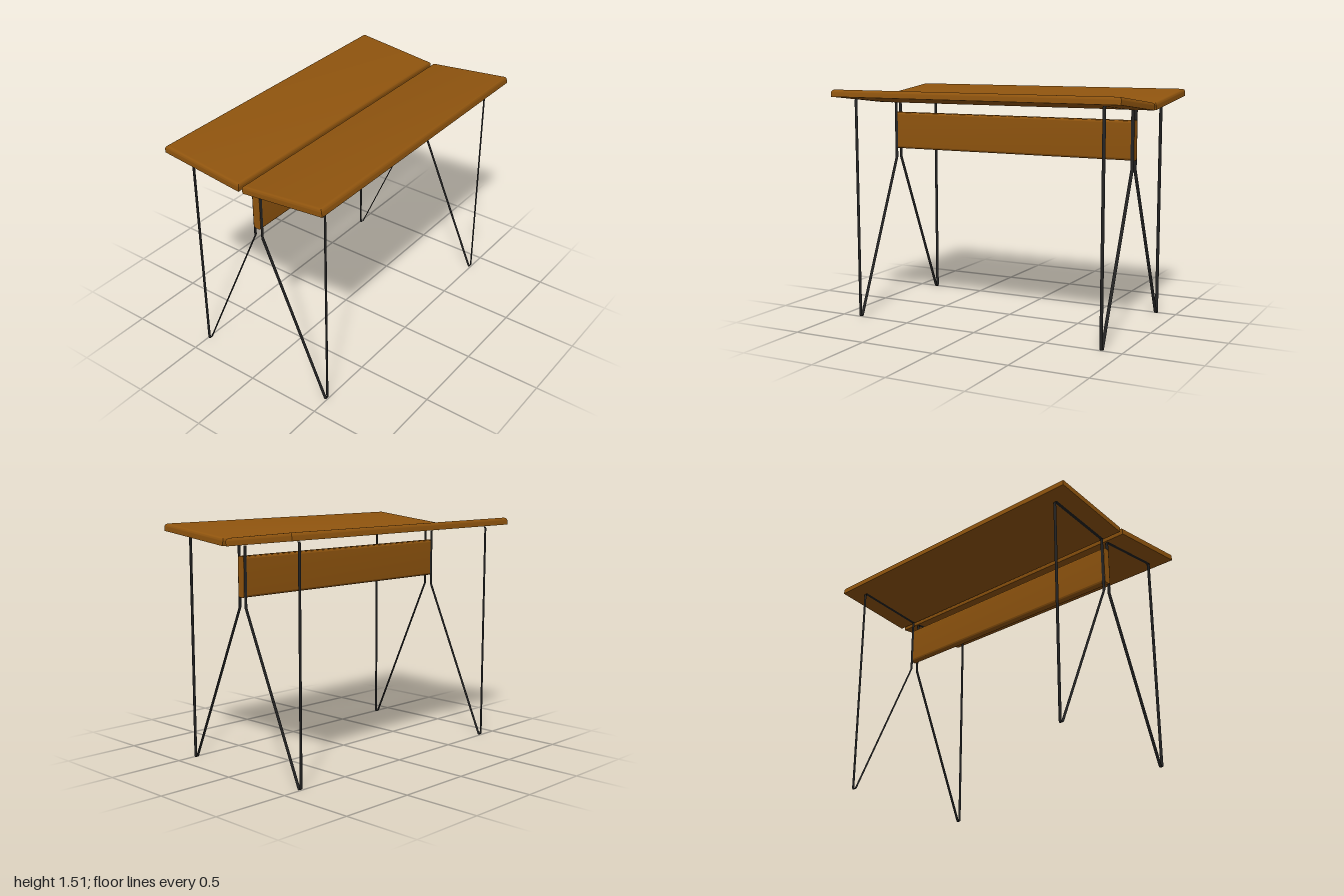
import * as THREE from 'three';
import { toCreasedNormals } from 'three/addons/utils/BufferGeometryUtils.js';

const wood = new THREE.MeshStandardMaterial({ color: 0x8f540e });
const steel = new THREE.MeshStandardMaterial({ color: 0x222222, side: THREE.DoubleSide });

// Board with a sharp underside and rounded top edges: stacked rectangular rings
function boardGeometry(w, h, d, r, steps = 6) {
  const rings = [[0, 0]];
  for (let i = 0; i <= steps; i++) {
    const a = (i / steps) * Math.PI / 2;
    rings.push([r * (1 - Math.cos(a)), h - r + r * Math.sin(a)]);
  }
  const pos = [], index = [];
  for (const [inset, y] of rings) {
    const x = w / 2 - inset, z = d / 2 - inset;
    pos.push(-x, y, z, x, y, z, x, y, -z, -x, y, -z);
  }
  for (let k = 0; k < rings.length - 1; k++) {
    for (let i = 0; i < 4; i++) {
      const a = k * 4 + i, b = k * 4 + (i + 1) % 4;
      index.push(a, b, b + 4, a, b + 4, a + 4);
    }
  }
  const t = (rings.length - 1) * 4;
  index.push(0, 2, 1, 0, 3, 2, t, t + 1, t + 2, t, t + 2, t + 3);
  const g = new THREE.BufferGeometry();
  g.setAttribute('position', new THREE.Float32BufferAttribute(pos, 3));
  g.setIndex(index);
  return toCreasedNormals(g, 0.6);
}

// Closed outline of one leg, bent from a flat strip with rounded corners
function legOutline(side) {
  const s = new THREE.Path();
  s.moveTo(side * 0.027, 1.03);
  s.lineTo(side * 0.027, 1.404);
  s.lineTo(side * 0.485, 1.4535);
  s.quadraticCurveTo(side * 0.498, 1.455, side * 0.498, 1.442);
  s.lineTo(side * 0.498, 0.018);
  s.bezierCurveTo(side * 0.498, -0.002, side * 0.484, -0.004, side * 0.477, 0.012);
  s.lineTo(side * 0.027, 1.03);
  return s.getPoints(8);
}

// Thin open strip following an outline, spread along z
function stripGeometry(points, width) {
  const pos = [];
  for (let i = 0; i < points.length - 1; i++) {
    const p = points[i], q = points[i + 1], z = width / 2;
    pos.push(p.x, p.y, z, q.x, q.y, z, q.x, q.y, -z, p.x, p.y, z, q.x, q.y, -z, p.x, p.y, -z);
  }
  const g = new THREE.BufferGeometry();
  g.setAttribute('position', new THREE.Float32BufferAttribute(pos, 3));
  g.computeVertexNormals();
  return toCreasedNormals(g, 0.6);
}

// Central beam with rounded long edges
function beamGeometry(w, h, d, r) {
  const x = w / 2, y = h / 2, s = new THREE.Shape();
  s.absarc(x - r, y - r, r, 0, Math.PI / 2);
  s.absarc(-x + r, y - r, r, Math.PI / 2, Math.PI);
  s.absarc(-x + r, -y + r, r, Math.PI, Math.PI * 1.5);
  s.absarc(x - r, -y + r, r, Math.PI * 1.5, Math.PI * 2);
  const g = new THREE.ExtrudeGeometry(s, { depth: d, bevelEnabled: false, curveSegments: 6 });
  g.translate(0, 0, -d / 2);
  return toCreasedNormals(g, 0.6);
}

export function createModel() {
  const model = new THREE.Group();
  model.name = 'table';
  const add = (name, geometry, material) => {
    const mesh = new THREE.Mesh(geometry, material);
    mesh.name = name;
    model.add(mesh);
    return mesh;
  };

  // Two tilted boards rising outward, with a narrow gap between them
  const board = boardGeometry(0.572, 0.048, 2, 0.02);
  for (const side of [1, -1]) {
    const label = side > 0 ? 'left' : 'right';
    const top = add(label + 'Top', board, wood);
    top.position.set(side * 0.3, 1.4365, 0);
    top.rotation.z = side * 0.109;

    // Bent strip legs at both ends
    const leg = stripGeometry(legOutline(side), 0.022);
    for (const end of [1, -1]) {
      add(label + (end > 0 ? 'FrontLeg' : 'BackLeg'), leg, steel).position.z = end * 0.865;
    }
  }

  // Beam held between the legs
  add('beam', beamGeometry(0.052, 0.25, 1.752, 0.016), wood).position.y = 1.215;
  return model;
}
